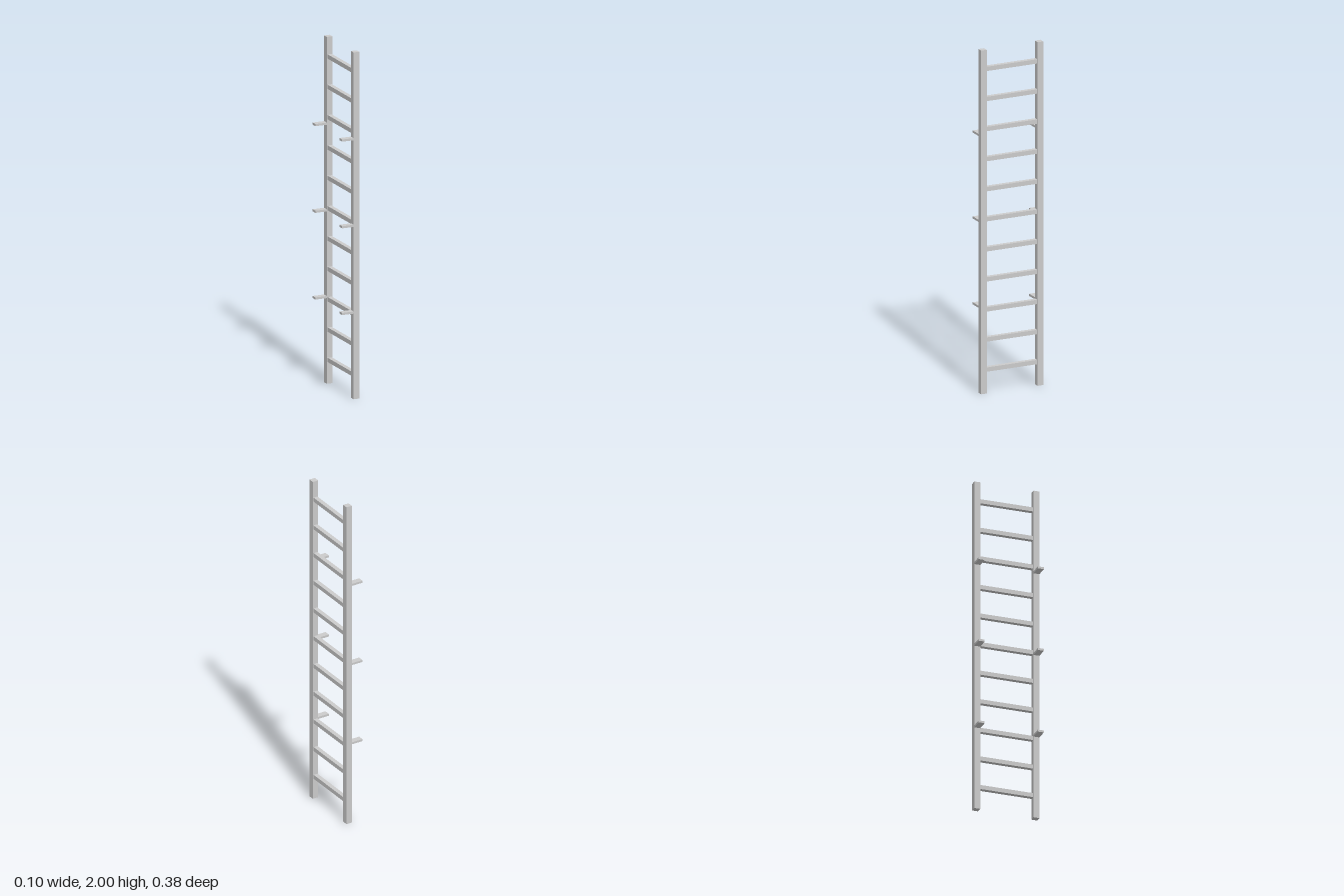
import * as THREE from 'three';

const RAIL = 0.035;     // square section of the side rails
const RAIL_X = 0.035;   // rails and rungs share this plane
const RAIL_Z = 0.175;
const RUNG = 0.025;     // square section of the rungs

export function createModel() {
  const ladder = new THREE.Group();
  ladder.name = 'ladder';
  const material = new THREE.MeshStandardMaterial({ color: 0xcccccc, flatShading: true });

  function addBox(name, size, position) {
    const mesh = new THREE.Mesh(new THREE.BoxGeometry(...size), material);
    mesh.name = name;
    mesh.position.set(...position);
    ladder.add(mesh);
  }

  // Side rails, each with three wall brackets behind it
  const bracketLength = 0.07;
  for (const [side, label] of [[1, 'front'], [-1, 'back']]) {
    addBox(`${label}Rail`, [RAIL, 2, RAIL], [RAIL_X, 1, side * RAIL_Z]);
    [0.5, 1, 1.5].forEach((y, i) => {
      const x = RAIL_X - RAIL / 2 - bracketLength / 2;
      addBox(`${label}WallBracket${i + 1}`, [bracketLength, 0.0125, RAIL], [x, y, side * RAIL_Z]);
    });
  }

  // Evenly spaced rungs between the rails
  for (let i = 0; i < 11; i++) {
    addBox(`rung${i + 1}`, [RUNG, RUNG, 2 * RAIL_Z - RAIL], [RAIL_X, 0.137 + i * 0.175, 0]);
  }

  return ladder;
}
